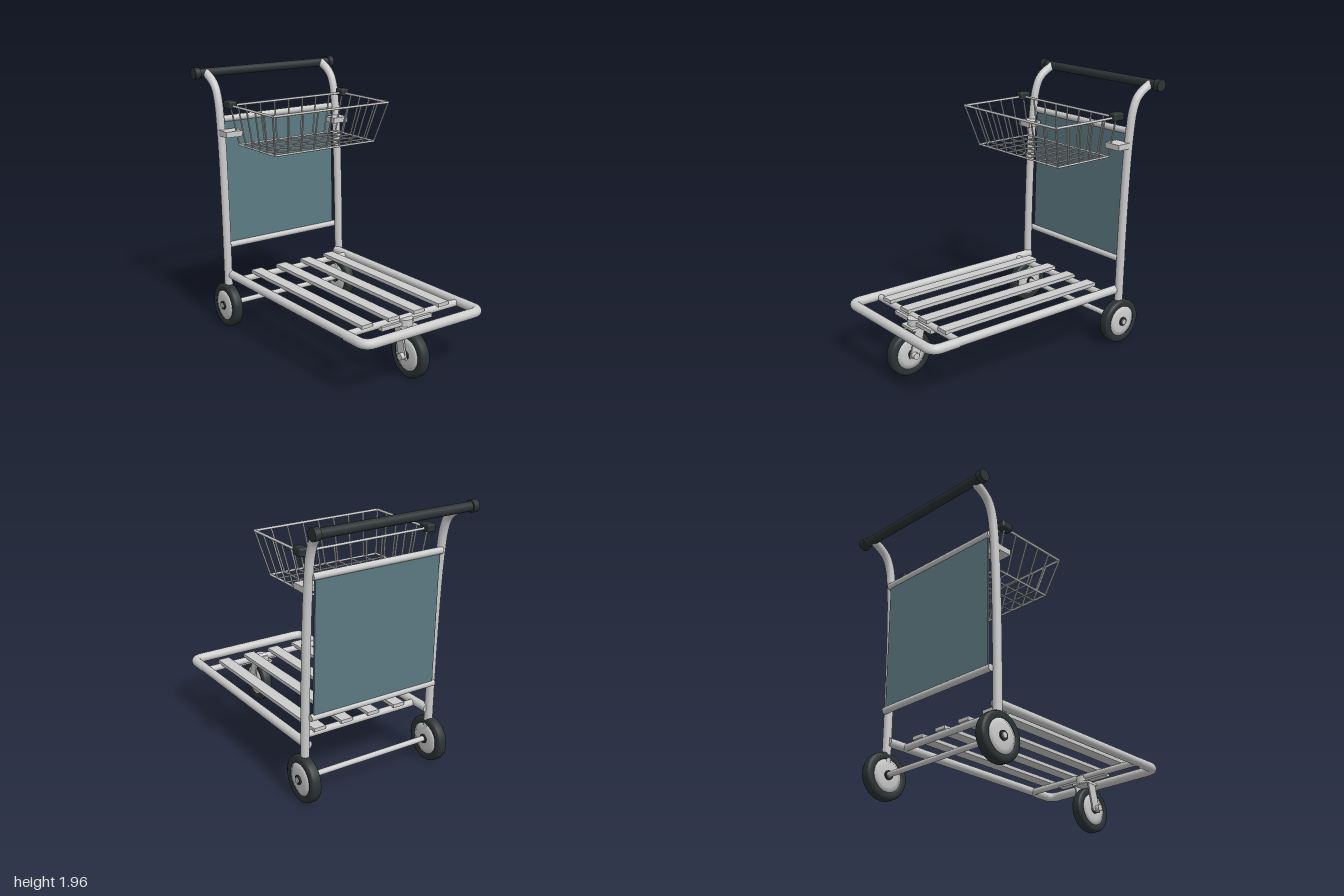
import * as THREE from 'three';
import { RoundedBoxGeometry } from 'three/addons/geometries/RoundedBoxGeometry.js';

const grey = new THREE.MeshStandardMaterial({ color: 0xcccccc });
const dark = new THREE.MeshStandardMaterial({ color: 0x2c3234 });
const teal = new THREE.MeshStandardMaterial({ color: 0x5c7a82 });
const V = (x, y, z) => new THREE.Vector3(x, y, z);

function add(parent, name, geometry, material = grey) {
  const mesh = new THREE.Mesh(geometry, material);
  mesh.name = name;
  parent.add(mesh);
  return mesh;
}

function box(parent, name, size, pos, material = grey) {
  const mesh = add(parent, name, new THREE.BoxGeometry(...size), material);
  mesh.position.set(...pos);
  return mesh;
}

// Straight capped rod between two points
function rod(parent, name, a, b, r, material = grey, sides = 20) {
  const dir = b.clone().sub(a);
  const mesh = add(parent, name, new THREE.CylinderGeometry(r, r, dir.length(), sides), material);
  mesh.position.copy(a).add(b).multiplyScalar(0.5);
  mesh.quaternion.setFromUnitVectors(V(0, 1, 0), dir.normalize());
  return mesh;
}

const crossRod = (parent, name, half, y, z, r, material) =>
  rod(parent, name, V(-half, y, z), V(half, y, z), r, material);

// Wheel turned around the x axis: tyre, domed disc and hub
function wheel(name, x, z) {
  const group = new THREE.Group();
  group.name = name;
  const lathe = (pts, sides) => new THREE.LatheGeometry(pts.map(p => new THREE.Vector2(...p)), sides).rotateZ(-Math.PI / 2);
  add(group, 'tyre', lathe([
    [0.115, -0.034], [0.125, -0.039], [0.148, -0.039], [0.161, -0.033], [0.167, -0.022],
    [0.167, 0.022], [0.161, 0.033], [0.148, 0.039], [0.125, 0.039], [0.115, 0.034]], 48), dark);
  add(group, 'disc', lathe([
    [0, -0.042], [0.035, -0.042], [0.08, -0.038], [0.118, -0.03],
    [0.118, 0.03], [0.08, 0.038], [0.035, 0.042], [0, 0.042]], 40));
  rod(group, 'hub', V(-0.052, 0, 0), V(0.052, 0, 0), 0.033, dark);
  rod(group, 'axleEnd', V(-0.06, 0, 0), V(0.06, 0, 0), 0.02);
  group.position.set(x, 0.167, z);
  return group;
}

function buildDeck() {
  const deck = new THREE.Group();
  deck.name = 'deck';
  // U-shaped front bumper
  const y = 0.405, x = 0.502, z = 0.963, c = 0.075;
  const path = new THREE.CurvePath();
  path.add(new THREE.LineCurve3(V(-x, y, 0.76), V(-x, y, z - c)));
  path.add(new THREE.QuadraticBezierCurve3(V(-x, y, z - c), V(-x, y, z), V(-x + c, y, z)));
  path.add(new THREE.LineCurve3(V(-x + c, y, z), V(x - c, y, z)));
  path.add(new THREE.QuadraticBezierCurve3(V(x - c, y, z), V(x, y, z), V(x, y, z - c)));
  path.add(new THREE.LineCurve3(V(x, y, z - c), V(x, y, 0.76)));
  add(deck, 'frontTube', new THREE.TubeGeometry(path, 120, 0.035, 18));
  for (const s of [-1, 1]) {
    rod(deck, 'sideTube', V(s * x, y + 0.002, 0.77), V(s * x, y + 0.002, -0.72), 0.032);
  }
  crossRod(deck, 'frontCrossTube', 0.5, 0.4, 0.735, 0.025);
  crossRod(deck, 'rearCrossTube', 0.5, 0.4, -0.577, 0.025);
  // Slats
  for (const i of [-1.5, -0.5, 0.5, 1.5]) {
    box(deck, 'slat', [0.093, 0.026, 1.38], [i * 0.223, 0.432, 0.08]);
  }
  return deck;
}

function buildFrontCaster() {
  const caster = new THREE.Group();
  caster.name = 'frontCaster';
  box(caster, 'mountPlate', [0.44, 0.028, 0.06], [0, 0.382, 0.75]);
  rod(caster, 'swivel', V(0, 0.35, 0.755), V(0, 0.41, 0.755), 0.055);
  box(caster, 'forkCrown', [0.14, 0.018, 0.12], [0, 0.352, 0.765]);
  // Slanted fork plates, drawn in the z-y plane
  const shape = new THREE.Shape();
  [[0.72, 0.36], [0.795, 0.36], [0.848, 0.145], [0.772, 0.145]].reverse()
    .forEach(([z, y], i) => (i ? shape.lineTo(-z, y) : shape.moveTo(-z, y)));
  for (const s of [-1, 1]) {
    const plate = add(caster, 'forkPlate', new THREE.ExtrudeGeometry(shape, { depth: 0.012, bevelEnabled: false }));
    plate.rotation.y = Math.PI / 2;
    plate.position.x = s * 0.062 - 0.006;
    rod(caster, 'axleNut', V(s * 0.065, 0.167, 0.815), V(s * 0.098, 0.167, 0.815), 0.024);
  }
  caster.add(wheel('frontWheel', 0, 0.815));
  return caster;
}

function buildBack() {
  const back = new THREE.Group();
  back.name = 'backFrame';
  for (const s of [-1, 1]) {
    const x = s * 0.522;
    const curve = new THREE.CatmullRomCurve3([
      V(x, 0.16, -0.712), V(x, 0.6, -0.718), V(x, 1.0, -0.728), V(x, 1.4, -0.745), V(x, 1.6, -0.762),
      V(x, 1.74, -0.783), V(x, 1.83, -0.82), V(x, 1.88, -0.875), V(x, 1.92, -0.955)]);
    add(back, 'upright', new THREE.TubeGeometry(curve, 70, 0.031, 18));
    rod(back, 'handleCap', V(s * 0.58, 1.92, -0.957), V(s * 0.625, 1.92, -0.957), 0.043, dark, 28);
  }
  crossRod(back, 'handle', 0.6, 1.92, -0.957, 0.033, dark);
  crossRod(back, 'panelTopTube', 0.51, 1.595, -0.785, 0.024);
  crossRod(back, 'panelBottomTube', 0.51, 0.625, -0.762, 0.024);
  const panel = box(back, 'panel', [0.98, 0.97, 0.016], [0, 1.11, -0.775], teal);
  panel.rotation.x = -0.018;
  return back;
}

function buildBasket() {
  const basket = new THREE.Group();
  basket.name = 'basket';
  const top = 1.715, bottom = 1.42, back = -0.64, r = 0.006;
  const wire = (a, b, radius = r) => rod(basket, 'wire', a, b, radius, grey, 8);
  const loop = (half, y, front, radius) => {
    const p = [V(-half, y, back), V(half, y, back), V(half, y, front), V(-half, y, front)];
    p.forEach((a, i) => wire(a, p[(i + 1) % 4], radius));
  };
  loop(0.503, top, -0.073, 0.009);
  loop(0.437, bottom, -0.157, 0.008);
  // Wires running front to back
  for (let i = -4; i <= 4; i++) {
    const xt = i * 0.503 / 4, xb = i * 0.437 / 4;
    wire(V(xt, top, -0.073), V(xb, bottom, -0.157));
    wire(V(xb, bottom, -0.157), V(xb, bottom, back));
    wire(V(xb, bottom, back), V(xt, top, back));
  }
  // Wires running side to side
  for (let i = 1; i < 5; i++) {
    const zt = THREE.MathUtils.lerp(-0.073, back, i / 5), zb = THREE.MathUtils.lerp(-0.157, back, i / 5);
    wire(V(-0.437, bottom, zb), V(0.437, bottom, zb));
    for (const s of [-1, 1]) wire(V(s * 0.503, top, zt), V(s * 0.437, bottom, zb));
  }
  // Clamps and support brackets
  for (const s of [-1, 1]) {
    const clamp = add(basket, 'clamp', new RoundedBoxGeometry(0.068, 0.058, 0.096, 3, 0.014), dark);
    clamp.position.set(s * 0.503, 1.722, -0.64);
    box(basket, 'bracket', [0.135, 0.042, 0.115], [s * 0.481, 1.503, -0.687]);
  }
  return basket;
}

export function createModel() {
  const model = new THREE.Group();
  model.name = 'luggageTrolley';
  model.add(buildDeck(), buildFrontCaster(), buildBack(), buildBasket());
  model.add(wheel('leftRearWheel', 0.53, -0.715), wheel('rightRearWheel', -0.53, -0.715));
  crossRod(model, 'rearAxle', 0.5, 0.17, -0.715, 0.02);
  return model;
}
